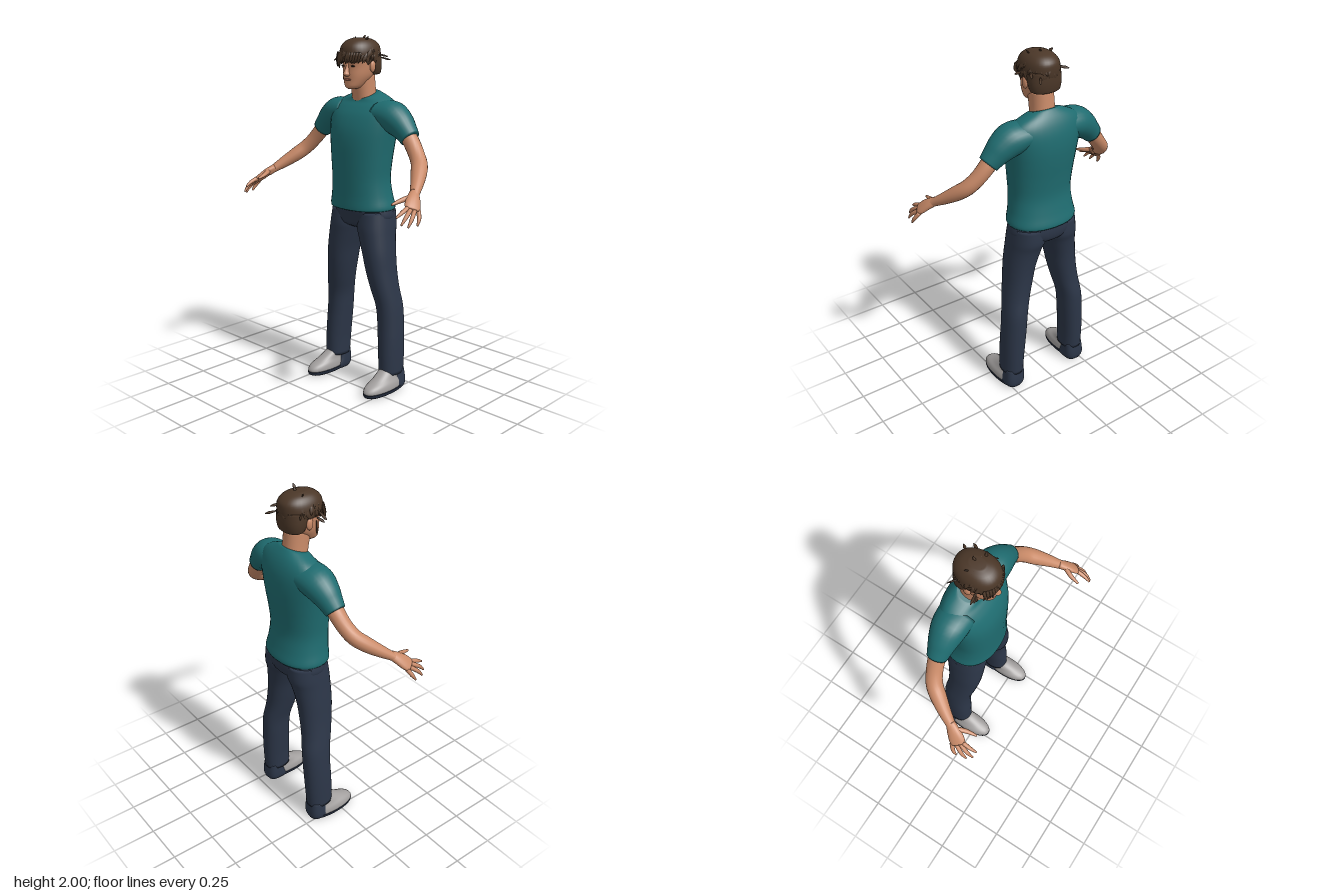
import * as THREE from 'three';
import { mergeGeometries } from 'three/addons/utils/BufferGeometryUtils.js';

const mat = (name, color) => Object.assign(new THREE.MeshStandardMaterial({ color }), { name });

// Smoothly subdivide a list of parameter rows
function refine(rows, n) {
  const out = [], last = rows.length - 1;
  for (let i = 0; i < last; i++) {
    const [a, b, c, d] = [rows[Math.max(i - 1, 0)], rows[i], rows[i + 1], rows[Math.min(i + 2, last)]];
    for (let k = 0; k < n; k++) {
      const t = k / n;
      out.push(b.map((v, j) => v + 0.5 * t * (c[j] - a[j] + t * (2 * a[j] - 5 * v + 4 * c[j] - d[j]
        + t * (3 * (v - c[j]) + d[j] - a[j])))));
    }
  }
  out.push(rows[last]);
  return out;
}

// Skin closed rings of points and cap both ends
function skin(rings) {
  const n = rings[0].length, m = rings.length, pos = rings.flat(2), idx = [];
  for (let i = 0; i < m - 1; i++) for (let j = 0; j < n; j++) {
    const a = i * n + j, b = i * n + (j + 1) % n;
    idx.push(a, a + n, b, b, a + n, b + n);
  }
  [0, m - 1].forEach((r, end) => {
    const centre = pos.length / 3;
    for (let k = 0; k < 3; k++) pos.push(rings[r].reduce((s, p) => s + p[k], 0) / n);
    for (let j = 0; j < n; j++) {
      const a = r * n + j, b = r * n + (j + 1) % n;
      end ? idx.push(centre, b, a) : idx.push(centre, a, b);
    }
  });
  const g = new THREE.BufferGeometry();
  g.setAttribute('position', new THREE.Float32BufferAttribute(pos, 3));
  g.setIndex(idx);
  g.computeVertexNormals();
  return g;
}

// Level sections: [y, centre x, half width, front z, back z, backward rise]
function stack(rows, { s = 1, power = 2.2, seg = 32 } = {}) {
  const bend = v => Math.sign(v) * Math.abs(v) ** (2 / power);
  return skin(refine(rows, 4).map(([y, cx, hw, zf, zb, rise = 0]) =>
    Array.from({ length: seg }, (_, j) => {
      const t = j / seg * Math.PI * 2, w = bend(Math.sin(t));
      return [s * cx + hw * bend(Math.cos(t)), y - rise * w, (zf + zb) / 2 + w * (zf - zb) / 2];
    })));
}

// Sections along a path: [x, y, z, radius across, radius thick]
function limb(rows, { s = 1, across = null, seg = 16, fine = 4 } = {}) {
  const r = refine(rows, fine).map(([x, ...q]) => [s * x, ...q]);
  const at = i => new THREE.Vector3(...r[Math.min(Math.max(i, 0), r.length - 1)].slice(0, 3));
  return skin(r.map((row, i) => {
    const T = at(i + 1).sub(at(i - 1)).normalize();
    const U = across ? new THREE.Vector3(s * across[0], across[1], across[2])
      : T.clone().cross(new THREE.Vector3(0, 1, 0));
    U.addScaledVector(T, -U.dot(T)).normalize();
    const V = U.clone().cross(T);
    return Array.from({ length: seg }, (_, j) => {
      const t = j / seg * Math.PI * 2;
      return at(i).addScaledVector(U, row[3] * Math.cos(t)).addScaledVector(V, row[4] * Math.sin(t)).toArray();
    });
  }));
}

export function createModel() {
  const model = new THREE.Group();
  const skinTone = mat('skin', 0xc98a68), shirt = mat('teal shirt', 0x1f6c70), navy = mat('navy trousers', 0x2c3648),
    grey = mat('grey shoe', 0xa3a09f), dark = mat('dark sole', 0x222a3a), hair = mat('brown hair', 0x4b3728),
    lip = mat('lips', 0xa8634f), eye = mat('eyes', 0x33261f);
  const add = (name, geometry, material) => {
    const mesh = new THREE.Mesh(geometry, material);
    mesh.name = name;
    model.add(mesh);
    return mesh;
  };
  const ball = (name, material, p, size) => {
    const mesh = add(name, new THREE.SphereGeometry(1, 16, 12), material);
    mesh.position.set(...p);
    mesh.scale.set(...size);
  };

  // Torso of the shirt, with the neckline higher at the back
  add('shirtBody', stack([
    [1.05, 0, .198, .03, -.262, 0], [1.07, 0, .201, .031, -.264, 0], [1.13, 0, .188, .03, -.25, 0],
    [1.22, 0, .18, .032, -.236, 0], [1.32, 0, .188, .034, -.243, 0], [1.42, 0, .2, .033, -.256, 0],
    [1.50, 0, .212, .022, -.262, 0], [1.57, 0, .222, -.004, -.258, 0], [1.62, 0, .212, -.035, -.245, .004],
    [1.655, 0, .17, -.058, -.225, .012], [1.68, 0, .105, -.064, -.2, .02], [1.684, 0, .085, -.064, -.19, .022]
  ]), shirt);

  // Hips
  add('trouserHips', stack([
    [.935, 0, .07, -.06, -.19], [.96, 0, .15, -.012, -.235], [1.0, 0, .196, 0, -.25],
    [1.05, 0, .194, .01, -.25], [1.1, 0, .18, .01, -.235]
  ]), navy);

  for (const s of [1, -1]) {
    const side = s > 0 ? 'left' : 'right', o = { s };
    add(side + 'Sleeve', limb([
      [.12, 1.585, -.135, .1, .07], [.2, 1.57, -.133, .095, .085], [.26, 1.535, -.13, .08, .077],
      [.3, 1.5, -.127, .066, .064], [.336, 1.464, -.124, .054, .055]
    ], { s, seg: 24 }), shirt);
    add(side + 'Arm', limb([
      [.29, 1.51, -.125, .045, .045], [.34, 1.455, -.122, .046, .043], [.39, 1.395, -.108, .044, .041],
      [.435, 1.345, -.082, .044, .041], [.47, 1.305, -.037, .043, .04], [.51, 1.26, .025, .034, .032],
      [.542, 1.222, .082, .026, .023], [.56, 1.2, .11, .027, .02]
    ], { s, seg: 20 }), skinTone);
    const across = [-.5, .25, .9];
    add(side + 'Palm', limb([
      [.535, 1.23, .075, .024, .022], [.56, 1.205, .11, .036, .021], [.58, 1.18, .14, .043, .019],
      [.597, 1.16, .162, .04, .014]
    ], { s, across }), skinTone);
    // Base, knuckle and tip of each digit
    const digits = {
      Thumb: [[.55, 1.215, .11], [.525, 1.2, .165], [.513, 1.185, .222]],
      IndexFinger: [[.58, 1.172, .18], [.582, 1.155, .225], [.578, 1.135, .262]],
      MiddleFinger: [[.592, 1.163, .172], [.605, 1.135, .22], [.604, 1.1, .254]],
      RingFinger: [[.603, 1.157, .152], [.622, 1.125, .195], [.625, 1.088, .226]],
      LittleFinger: [[.61, 1.155, .13], [.631, 1.12, .15], [.637, 1.09, .17]]
    };
    for (const [name, p] of Object.entries(digits)) {
      const k = name === 'Thumb' ? 1.2 : 1;
      add(side + name, limb(p.map((q, i) => [...q, k * [.012, .0105, .005][i], k * [.012, .0105, .005][i]]),
        { s, seg: 10 }), skinTone);
    }
    add(side + 'TrouserLeg', stack([
      [.1, .215, .061, -.05, -.207], [.2, .213, .063, -.05, -.214], [.3, .208, .066, -.053, -.218],
      [.4, .201, .067, -.056, -.221], [.5, .192, .067, -.05, -.22], [.6, .172, .072, -.03, -.207],
      [.7, .153, .077, -.013, -.205], [.8, .137, .083, -.003, -.21], [.9, .115, .093, 0, -.225],
      [.96, .103, .099, 0, -.242], [1.04, .1, .092, -.01, -.24]
    ], o), navy);
    // Shoe: pale upper, dark heel and sole
    add(side + 'ShoeUpper', stack([
      [.015, .227, .058, .09, -.19], [.035, .227, .062, .1, -.195], [.06, .226, .059, .08, -.195],
      [.085, .223, .05, .025, -.19], [.115, .218, .044, -.03, -.18], [.13, .216, .04, -.05, -.18]
    ], o), grey);
    add(side + 'ShoeHeel', stack([
      [.005, .22, .05, -.07, -.2], [.03, .22, .061, -.08, -.208], [.07, .218, .06, -.1, -.207],
      [.12, .216, .055, -.11, -.2]
    ], { s, power: 3 }), navy);
    add(side + 'ShoeSole', stack([
      [0, .227, .05, .08, -.195], [.01, .227, .061, .098, -.205], [.028, .227, .063, .101, -.207]
    ], o), dark);
    // Facial features
    ball(side + 'Ear', skinTone, [s * .088, 1.835, -.095], [.012, .032, .02]);
    ball(side + 'Eye', eye, [s * .035, 1.838, .004], [.014, .005, .005]);
    ball(side + 'Brow', hair, [s * .037, 1.856, .007], [.02, .005, .006]);
  }

  // Neck, head and face
  add('neck', stack([[1.62, 0, .07, -.065, -.2], [1.7, 0, .064, -.052, -.187], [1.79, 0, .063, -.03, -.178]]), skinTone);
  add('head', stack([
    [1.715, 0, .024, -.004, -.06], [1.727, 0, .042, .009, -.09], [1.755, 0, .06, .01, -.12],
    [1.79, 0, .076, .011, -.16], [1.835, 0, .085, .01, -.185], [1.88, 0, .088, .018, -.195],
    [1.93, 0, .08, .01, -.19], [1.97, 0, .05, -.03, -.15]
  ]), skinTone);
  add('nose', stack([
    [1.783, 0, .009, .02, -.01], [1.793, 0, .018, .037, -.01], [1.806, 0, .013, .034, -.01],
    [1.83, 0, .009, .022, -.01], [1.855, 0, .01, .014, -.01]
  ], { seg: 16 }), skinTone);
  ball('mouth', lip, [0, 1.766, .009], [.025, .006, .007]);

  // Hair mass
  add('hairCrown', stack([
    [1.862, 0, .09, .022, -.2], [1.875, 0, .096, .028, -.207], [1.91, 0, .097, .031, -.21], [1.945, 0, .087, .022, -.205],
    [1.972, 0, .064, -.008, -.175], [1.986, 0, .03, -.05, -.13]
  ]), hair);
  add('hairBack', stack([
    [1.79, 0, .074, -.1, -.194], [1.8, 0, .085, -.09, -.2], [1.84, 0, .093, -.07, -.206], [1.9, 0, .092, -.04, -.206]
  ]), hair);

  // Layered locks sweeping down from the crown
  let seed = 7;
  const rnd = () => (seed = (seed * 16807) % 2147483647) / 2147483647;
  const locks = [];
  for (let i = 0; i < 110; i++) {
    const a = i * 2.39996, e = .1 + 1.2 * rnd(), turn = (rnd() - .5) * .7, lift = .02 + .07 * rnd();
    const rows = [0, 1, 2].map(k => {
      const el = e - k * .26, az = a + turn * k * .5, q = .97 + lift * k * .6;
      return [.097 * q * Math.cos(el) * Math.cos(az), 1.885 + .102 * q * Math.sin(el),
        -.088 + .119 * q * Math.cos(el) * Math.sin(az), [.012, .013, .001][k], [.007, .006, .001][k]];
    });
    locks.push(limb(rows, { seg: 5, fine: 2, across: [-Math.sin(a), 0.01, Math.cos(a)] }));
  }
  // Fringe hanging over the brow, longer on the right
  for (let i = 0; i < 13; i++) {
    const x = -.078 + i * .013, z = .034 - 5 * x * x, drop = (x < -.03 ? 1.825 : 1.85) + .012 * rnd();
    locks.push(limb([[x, 1.91, z - .008, .012, .006], [x - .003, 1.872, z, .012, .006],
      [x - .01, drop, z - .006, .002, .002]], { seg: 5, fine: 2, across: [1, 0, 0] }));
  }
  // Stray tufts: root then tip
  const strays = [
    [-.09, 1.89, -.04, -.148, 1.862, -.035], [-.09, 1.86, -.05, -.125, 1.84, -.03], [-.085, 1.84, -.05, -.084, 1.76, -.045],
    [.09, 1.89, -.08, .12, 1.87, -.05], [.085, 1.9, -.14, .115, 1.885, -.19], [.06, 1.88, -.19, .095, 1.865, -.235],
    [-.08, 1.9, -.14, -.125, 1.89, -.18], [.04, 1.96, -.08, .07, 1.995, -.08], [-.04, 1.96, -.1, -.065, 1.99, -.12],
    [0, 1.97, -.1, .012, 2, -.12]
  ];
  for (const [x, y, z, X, Y, Z] of strays) locks.push(limb([[x, y, z, .004, .003],
    [(x + 2 * X) / 3, (y + 2 * Y) / 3, (z + 2 * Z) / 3, .009, .004], [X, Y, Z, .001, .001]],
  { seg: 5, fine: 2, across: [.3, .5, .8] }));
  add('hairLocks', mergeGeometries(locks), hair);
  return model;
}
